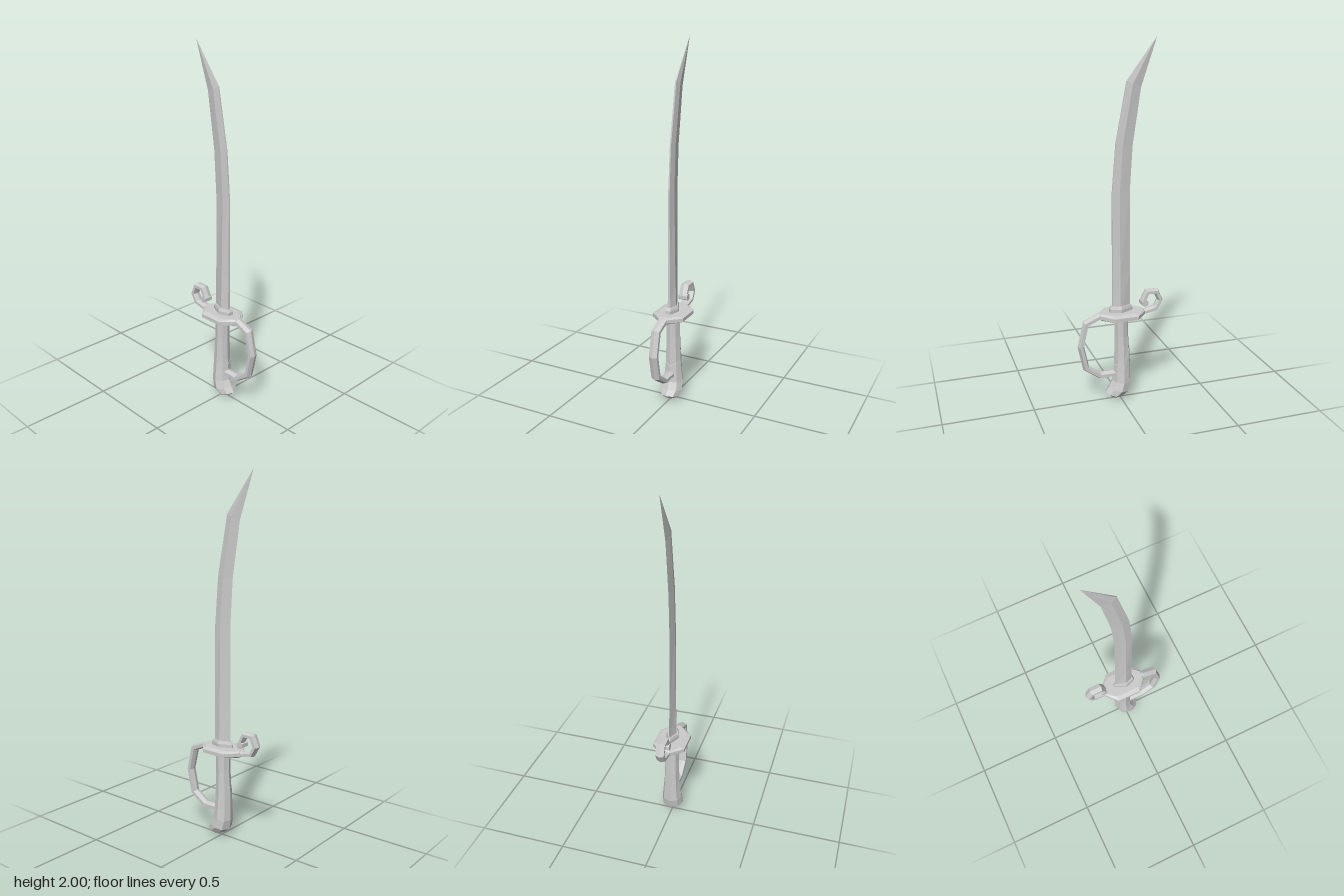
import * as THREE from 'three';

const material = new THREE.MeshStandardMaterial({ color: 0xcccccc, flatShading: true });

// Skin a closed solid over rings of [x, y, z] points; the signed volume decides the winding.
function loft(name, rings) {
  const tris = [];
  const n = rings[0].length;
  for (let r = 0; r < rings.length - 1; r++) {
    for (let i = 0; i < n; i++) {
      const j = (i + 1) % n;
      const a = rings[r][i], b = rings[r][j], c = rings[r + 1][j], d = rings[r + 1][i];
      tris.push([a, b, c], [a, c, d]);
    }
  }
  const first = rings[0], last = rings[rings.length - 1];
  for (let i = 1; i < n - 1; i++) {
    tris.push([first[0], first[i + 1], first[i]], [last[0], last[i], last[i + 1]]);
  }
  let volume = 0;
  for (const [a, b, c] of tris) {
    volume += a[0] * (b[1] * c[2] - b[2] * c[1])
            + a[1] * (b[2] * c[0] - b[0] * c[2])
            + a[2] * (b[0] * c[1] - b[1] * c[0]);
  }
  const points = tris.flatMap(([a, b, c]) => (volume > 0 ? [a, b, c] : [a, c, b])).flat();
  const geometry = new THREE.BufferGeometry();
  geometry.setAttribute('position', new THREE.Float32BufferAttribute(points, 3));
  geometry.computeVertexNormals();
  const mesh = new THREE.Mesh(geometry, material);
  mesh.name = name;
  return mesh;
}

// Sweep a hexagonal bar along a path in the xy plane, mitred at each bend.
function bar(name, path, half, depth) {
  const pts = path.map(([x, y]) => new THREE.Vector2(x, y));
  const rings = pts.map((p, i) => {
    const before = p.clone().sub(pts[Math.max(i - 1, 0)]).normalize();
    const after = pts[Math.min(i + 1, pts.length - 1)].clone().sub(p).normalize();
    const t = before.clone().add(after).normalize();
    const run = i ? before : after;
    const miter = 1 / Math.max(0.6, t.dot(run));
    return [[1, 0], [0.5, 1], [-0.5, 1], [-1, 0], [-0.5, -1], [0.5, -1]].map(([u, w]) =>
      [p.x - t.y * u * half * miter, p.y + t.x * u * half * miter, w * depth]);
  });
  return loft(name, rings);
}

// Eight-sided section spanning a left point and a right point.
const octagon = ([lx, ly, rx, ry, depth]) => Array.from({ length: 8 }, (_, i) => {
  const a = (i * Math.PI) / 4;
  const k = (1 + Math.cos(a)) / 2;
  return [lx + (rx - lx) * k, ly + (ry - ly) * k, Math.sin(a) * depth];
});

// Level section from half an outline, mirrored across z.
const mirrored = (half, y) => [
  ...half.map(([x, z]) => [x, y, z]),
  ...half.slice().reverse().map(([x, z]) => [x, y, -z]),
];

export function createModel() {
  const sword = new THREE.Group();
  sword.name = 'sabre';

  // Blade: sharp edge on the left, ridge on both faces, narrow blunt spine on the right
  const blade = [
    [-0.06, 0.53, 0.045, 0.53, 0.024],
    [-0.058, 0.75, 0.045, 0.75, 0.018],
    [-0.055, 1.2, 0.045, 1.2, 0.012],
    [-0.07, 1.45, 0.025, 1.46, 0.011],
    [-0.115, 1.75, -0.035, 1.78, 0.011],
    [-0.199, 2, -0.197, 2, 0.0005],
  ].map(([lx, ly, rx, ry, t]) =>
    [[0, 0], [0.6, 1], [1, 0.35], [1, -0.35], [0.6, -1]].map(([k, w]) =>
      [lx + (rx - lx) * k, ly + (ry - ly) * k, w * t]));
  sword.add(loft('blade', blade));

  // Collar at the root of the blade
  const collar = (s) => [[-0.072 * s, 0.004], [0, 0.037 * s], [0.06 * s, 0.015 * s]];
  sword.add(loft('collar', [
    mirrored(collar(1), 0.515), mirrored(collar(1), 0.545), mirrored(collar(0.86), 0.56),
  ]));

  // Guard plate with bevelled rims
  const rim = [[-0.138, 0.024], [-0.078, 0.092], [0.06, 0.092], [0.12, 0.024]];
  const face = [[-0.13, 0.02], [-0.078, 0.066], [0.06, 0.066], [0.112, 0.02]];
  sword.add(loft('guardPlate', [
    mirrored(face, 0.49), mirrored(rim, 0.498), mirrored(rim, 0.518), mirrored(face, 0.527),
  ]));

  // Knuckle bow and scrolled quillon
  sword.add(bar('knuckleBow', [
    [0.08, 0.509], [0.12, 0.509], [0.198, 0.475], [0.228, 0.342],
    [0.2, 0.21], [0.118, 0.154], [0.02, 0.154],
  ], 0.018, 0.024));
  sword.add(bar('quillon', [
    [-0.1, 0.509], [-0.15, 0.509], [-0.208, 0.522], [-0.234, 0.568],
    [-0.211, 0.621], [-0.158, 0.621], [-0.134, 0.572],
  ], 0.015, 0.024));
  const knob = new THREE.Mesh(new THREE.CylinderGeometry(0.02, 0.02, 0.056, 6), material);
  knob.name = 'quillonKnob';
  knob.rotation.x = Math.PI / 2;
  knob.position.set(-0.14, 0.562, 0);
  sword.add(knob);

  // Grip
  sword.add(loft('grip', [
    [-0.045, 0.5, 0.032, 0.5, 0.042],
    [-0.048, 0.38, 0.032, 0.38, 0.04],
    [-0.054, 0.28, 0.036, 0.2, 0.045],
    [-0.055, 0.15, 0.038, 0.15, 0.045],
  ].map(octagon)));

  // Pommel cap, curling forward at the foot
  sword.add(loft('pommel', [
    [-0.056, 0.305, 0.038, 0.205, 0.044],
    [-0.06, 0.17, 0.04, 0.17, 0.051],
    [-0.061, 0.1, 0.046, 0.11, 0.058],
    [-0.05, 0.045, 0.066, 0.07, 0.063],
    [-0.015, 0.016, 0.086, 0.04, 0.052],
    [0.01, 0.006, 0.058, 0.015, 0.026],
    [0.02, 0, 0.036, 0.003, 0.012],
  ].map(octagon)));

  return sword;
}
